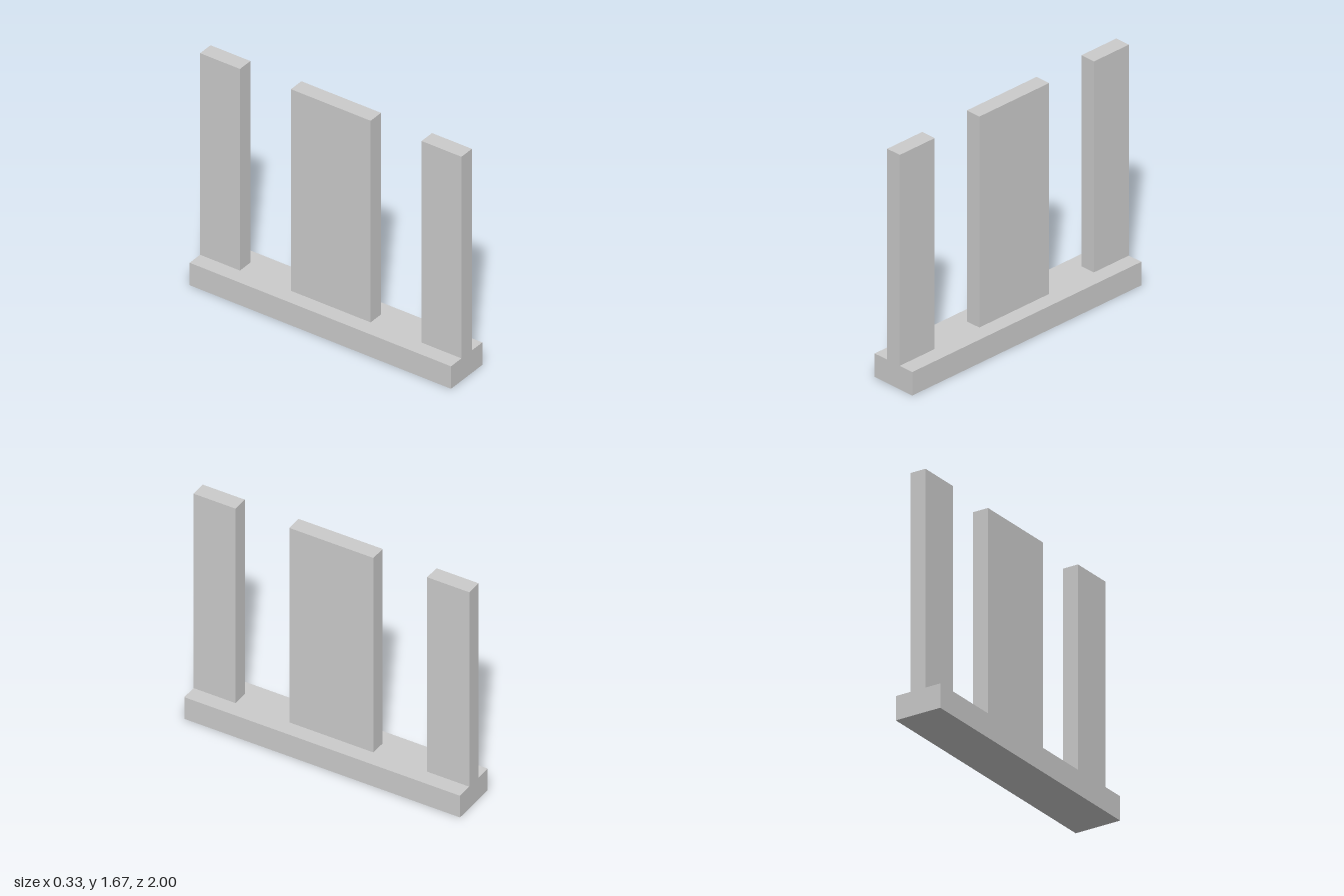
import * as THREE from 'three';

const BASE_WIDTH = 0.333, BASE_HEIGHT = 0.167, LENGTH = 2;
const PANEL_THICKNESS = 0.111, PANEL_HEIGHT = 1.5;
const MIDDLE_DEPTH = 0.61, END_DEPTH = 0.305;

export function createModel() {
  const model = new THREE.Group();
  model.name = 'slottedWall';
  const material = new THREE.MeshStandardMaterial({ color: 0xcccccc, flatShading: true });

  // Box standing on height y, centred at depth z
  const addBox = (name, width, height, depth, y, z) => {
    const mesh = new THREE.Mesh(new THREE.BoxGeometry(width, height, depth), material);
    mesh.name = name;
    mesh.position.set(0, y + height / 2, z);
    model.add(mesh);
  };
  const addPanel = (name, depth, z) =>
    addBox(name, PANEL_THICKNESS, PANEL_HEIGHT, depth, BASE_HEIGHT, z);

  // Long plinth
  addBox('base', BASE_WIDTH, BASE_HEIGHT, LENGTH, 0, 0);

  // Wide middle panel, and a half-width one flush with each end
  addPanel('middlePanel', MIDDLE_DEPTH, 0);
  for (const [name, side] of [['frontPanel', 1], ['backPanel', -1]]) {
    addPanel(name, END_DEPTH, side * (LENGTH - END_DEPTH) / 2);
  }
  return model;
}
